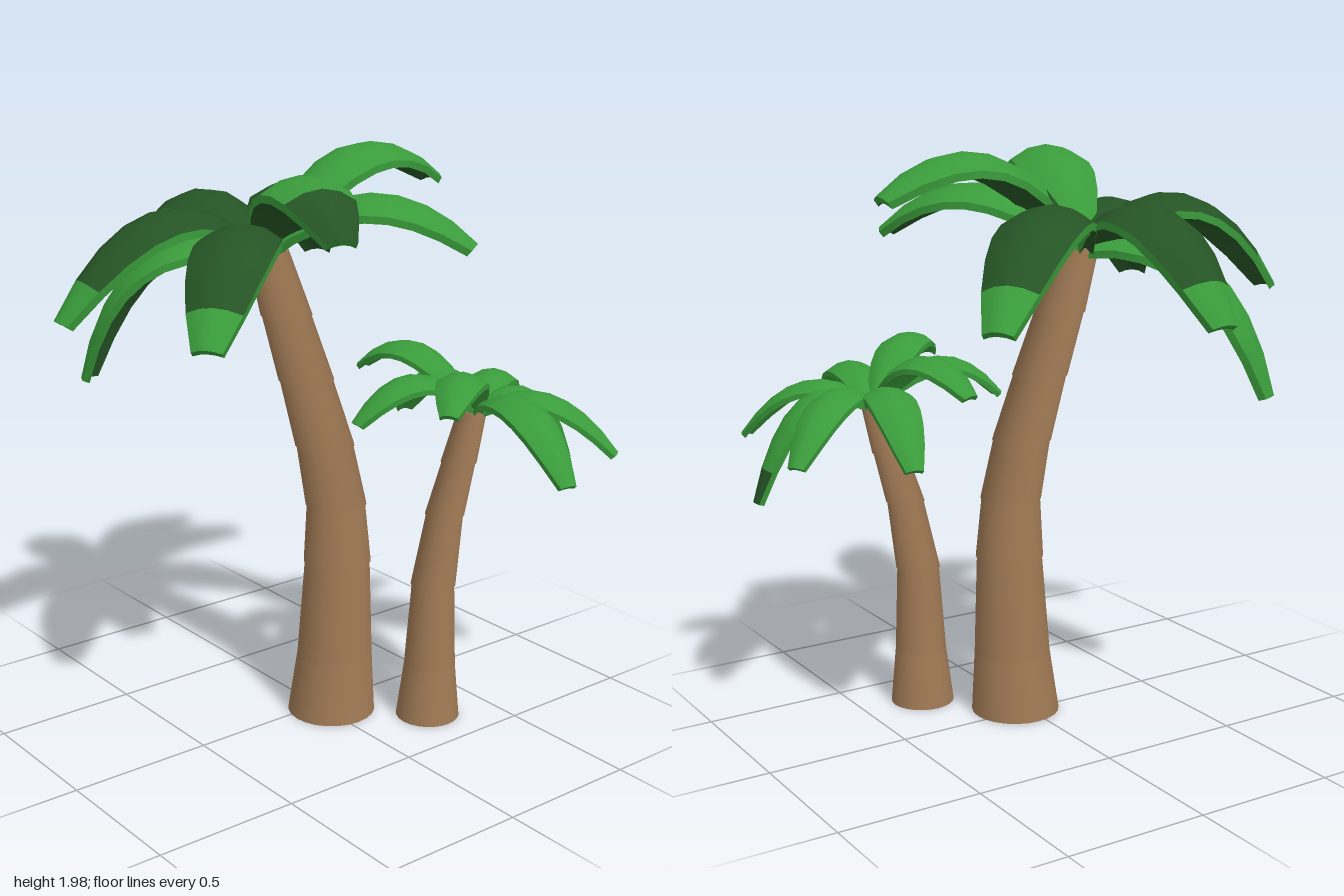
import * as THREE from 'three';

const flat = (name, color, side = THREE.FrontSide) => {
  const m = new THREE.MeshStandardMaterial({ color, side });
  m.name = name;
  return m;
};

// Smooth surface through rows of points; it faces (column direction) x (row direction)
function patch(rows, material, name) {
  const cols = rows[0].length;
  const index = [];
  for (let i = 0; i < rows.length - 1; i++) {
    for (let j = 0; j < cols - 1; j++) {
      const a = i * cols + j, c = a + cols;
      index.push(a, a + 1, c, a + 1, c + 1, c);
    }
  }
  const g = new THREE.BufferGeometry().setFromPoints(rows.flat());
  g.setIndex(index);
  g.computeVertexNormals();
  const mesh = new THREE.Mesh(g, material);
  mesh.name = name;
  return mesh;
}

// Trunk from stacked, sheared cylinders; each ring is [y, x, z, radius]
function makeTrunk(name, rings, material) {
  const trunk = new THREE.Group();
  trunk.name = name;
  for (let i = 0; i < rings.length - 1; i++) {
    const [y0, x0, z0, r0] = rings[i];
    const [y1, x1, z1, r1] = rings[i + 1];
    const h = y1 - y0;
    const step = i > 1 ? 0.004 : 0;
    const g = new THREE.CylinderGeometry(r1, r0 + step, h, 24);
    const p = g.attributes.position;
    for (let k = 0; k < p.count; k++) {
      const t = p.getY(k) / h + 0.5;
      p.setXYZ(k, p.getX(k) + x0 + (x1 - x0) * t, y0 + h * t, p.getZ(k) + z0 + (z1 - z0) * t);
    }
    const mesh = new THREE.Mesh(g, material);
    mesh.name = 'trunkSegment';
    trunk.add(mesh);
  }
  return trunk;
}

const SEG = 8;
const WIDTHS = [0.34, 0.62, 0.85, 0.97, 1, 0.96, 0.85, 0.66, 0.36];

// Arched, blunt leaf with thickness. peak and reach place the bend of its midrib.
// tops lists [first row, last row, material] for the upper side.
function makeLeaf(base, tip, peak, reach, width, thick, tops, under, rim) {
  const leaf = new THREE.Group();
  leaf.name = 'leaf';
  const bend = base.clone().lerp(tip, reach).setY(peak);
  const curve = new THREE.QuadraticBezierCurve3(base, bend, tip);
  const side = tip.clone().sub(base).setY(0).normalize().cross(new THREE.Vector3(0, 1, 0));
  const top = [], bottom = [];
  for (let i = 0; i <= SEG; i++) {
    const p = curve.getPoint(i / SEG);
    const normal = side.clone().cross(curve.getTangent(i / SEG));
    const w = width * WIDTHS[i];
    const rowTop = [], rowBottom = [];
    for (let u = -1; u <= 1.01; u += 0.5) {
      const q = p.clone().addScaledVector(side, u * w / 2).addScaledVector(normal, w * (0.08 - 0.2 * u * u));
      rowTop.push(q);
      rowBottom.push(q.clone().addScaledVector(normal, -thick));
    }
    top.push(rowTop);
    bottom.push(rowBottom);
  }
  for (const [from, to, material] of tops) leaf.add(patch(top.slice(from, to + 1), material, 'leafTop'));
  leaf.add(patch(bottom.map((r) => [...r].reverse()), under, 'leafUnderside'));
  leaf.add(patch(top.map((r, i) => [r[4], bottom[i][4]]), rim, 'leafRim'));
  leaf.add(patch(top.map((r, i) => [bottom[i][0], r[0]]), rim, 'leafRim'));
  leaf.add(patch([top[SEG], bottom[SEG]], rim, 'leafTip'));
  leaf.add(patch([bottom[0], top[0]], rim, 'leafRoot'));
  return leaf;
}

export function createModel() {
  const bark = flat('bark brown', 0xa07a55);
  const green = flat('leaf green', 0x3a9c3b);
  const dark = flat('dark leaf green', 0x255425);

  const model = new THREE.Group();
  model.name = 'palmTrees';

  // Trunks
  model.add(makeTrunk('largeTrunk', [
    [0, 0.03, 0.04, 0.155], [0.22, 0.038, 0.048, 0.133], [0.57, 0.047, 0.05, 0.114],
    [0.78, 0.042, 0.048, 0.102], [0.99, 0.016, 0.018, 0.098], [1.22, -0.027, -0.03, 0.091],
    [1.44, -0.068, -0.085, 0.084], [1.66, -0.112, -0.13, 0.071],
  ], bark));
  model.add(makeTrunk('smallTrunk', [
    [0, 0.27, 0.29, 0.112], [0.2, 0.272, 0.294, 0.09], [0.5, 0.275, 0.3, 0.074],
    [0.75, 0.322, 0.3, 0.064], [0.93, 0.375, 0.307, 0.058], [1.11, 0.425, 0.316, 0.05],
  ], bark));

  const allDark = [[0, SEG - 1, dark], [SEG - 1, SEG, green]];
  const allGreen = [[0, SEG, green]];
  const darkRoot = [[0, 2, dark], [2, SEG, green]];
  const darkTip = [[0, SEG - 2, green], [SEG - 2, SEG, dark]];
  const shortDarkTip = [[0, SEG - 1, green], [SEG - 1, SEG, dark]];

  // Crowns: tip x, y, z, bend height, bend reach, colouring of the upper side
  const addCrown = (name, root, leaves, width, thick, under) => {
    const crown = new THREE.Group();
    crown.name = name;
    for (const [x, y, z, peak, reach, tops] of leaves) {
      const tip = new THREE.Vector3(x, y, z);
      const base = root.clone().lerp(tip, 0.02).setY(root.y);
      crown.add(makeLeaf(base, tip, peak, reach, width, thick, tops, under, green));
    }
    model.add(crown);
  };

  addCrown('largeCrown', new THREE.Vector3(-0.125, 1.66, -0.14), [
    [-0.15, 1.49, -0.87, 2.02, 0.5, allDark],
    [0.56, 1.51, -0.71, 2.02, 0.5, allDark],
    [0.62, 1.85, -0.12, 2.15, 0.45, darkRoot],
    [0.34, 1.7, 0.4, 2.0, 0.5, allGreen],
    [-0.36, 1.82, 0.58, 2.14, 0.5, darkTip],
    [-0.7, 1.5, 0.36, 1.96, 0.5, allDark],
    [-0.86, 1.5, -0.23, 2.02, 0.5, allDark],
    [-0.55, 1.19, -0.62, 1.78, 0.75, allGreen],
  ], 0.27, 0.025, dark);

  addCrown('smallCrown', new THREE.Vector3(0.435, 1.11, 0.32), [
    [0.85, 0.99, 0.06, 1.31, 0.5, allGreen],
    [0.85, 0.8, 0.39, 1.3, 0.65, shortDarkTip],
    [0.76, 0.98, 0.68, 1.28, 0.5, allGreen],
    [0.33, 1.0, 0.87, 1.34, 0.5, allGreen],
    [0.05, 1.22, 0.6, 1.42, 0.5, allGreen],
    [-0.02, 1.12, 0.22, 1.38, 0.5, allGreen],
    [0.31, 1.2, -0.15, 1.43, 0.5, allGreen],
    [0.54, 0.99, -0.18, 1.32, 0.5, allGreen],
  ], 0.165, 0.018, green);

  return model;
}
